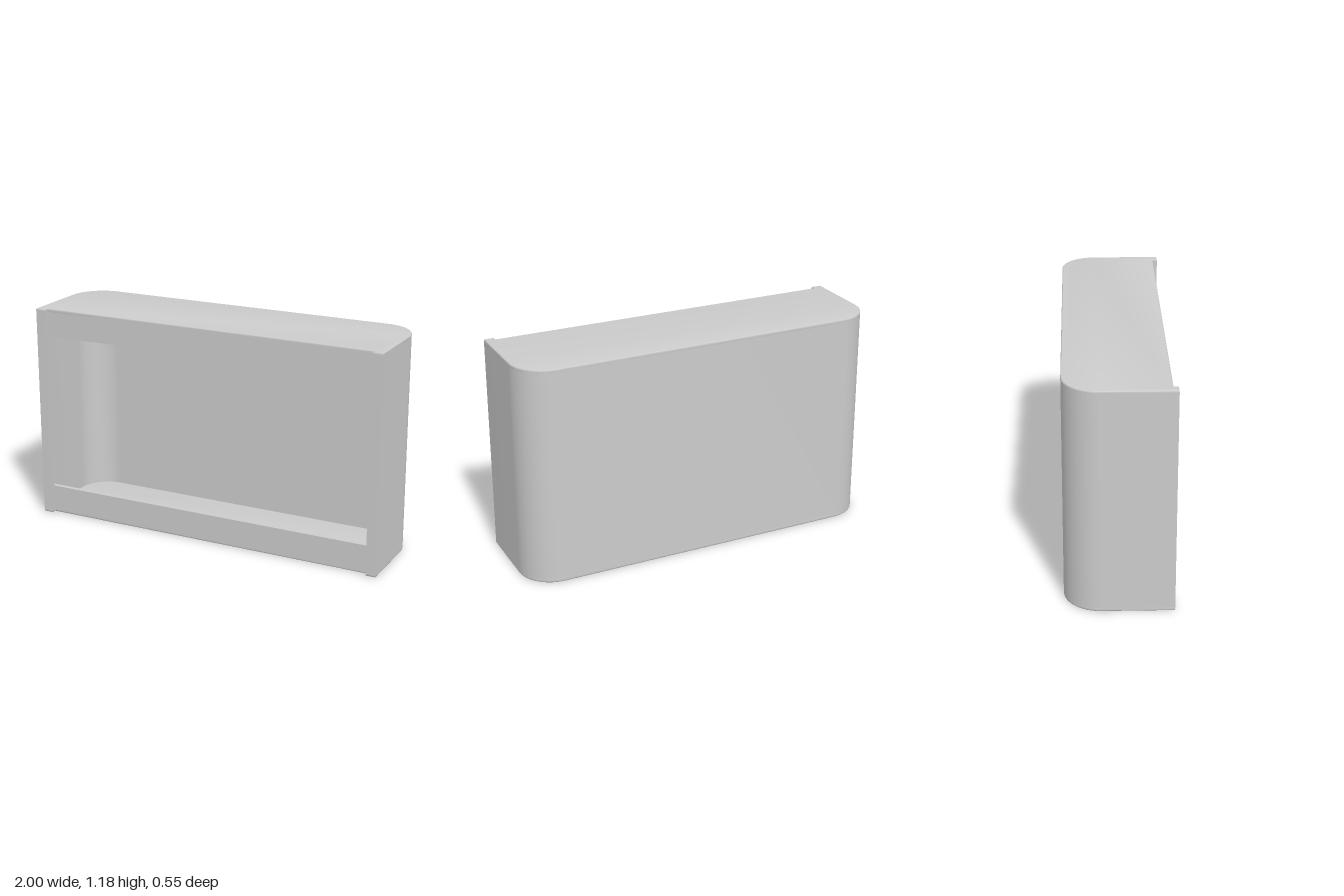
import * as THREE from 'three';
import { toCreasedNormals } from 'three/addons/utils/BufferGeometryUtils.js';

const H = 1.18;      // height
const W = 1;         // half width
const D = 0.275;     // half depth
const R = 0.185;     // radius of the back corners
const T = 0.025;     // sheet thickness
const STILE = 0.055; // width of the front side strips
const LIP = 0.155;   // height of the front top and bottom strips
const BEVEL = 0.006;

// Shapes are drawn in plan: shape x is x, shape y is -z (back is positive).
function backOutline(shape, inset, ccw) {
  const w = W - inset, d = D - inset, r = R - inset;
  const cx = W - R, cy = D - R;
  if (ccw) {
    shape.lineTo(w, cy);
    shape.absarc(cx, cy, r, 0, Math.PI / 2, false);
    shape.lineTo(-cx, d);
    shape.absarc(-cx, cy, r, Math.PI / 2, Math.PI, false);
  } else {
    shape.lineTo(-w, cy);
    shape.absarc(-cx, cy, r, Math.PI, Math.PI / 2, true);
    shape.lineTo(cx, d);
    shape.absarc(cx, cy, r, Math.PI / 2, 0, true);
  }
}

// Full plan with a small tab over each front strip
function plateShape() {
  const s = new THREE.Shape();
  s.moveTo(W, -D);
  backOutline(s, 0, true);
  s.lineTo(-W, -D);
  s.lineTo(-W + STILE, -D);
  s.lineTo(-W + STILE, -D + T);
  s.lineTo(W - STILE, -D + T);
  s.lineTo(W - STILE, -D);
  s.closePath();
  return s;
}

// Thin U with its front ends folded inward
function wallShape() {
  const s = new THREE.Shape();
  s.moveTo(W, -D);
  backOutline(s, 0, true);
  s.lineTo(-W, -D);
  s.lineTo(-W + STILE, -D);
  s.lineTo(-W + STILE, -D + T);
  s.lineTo(-W + T, -D + T);
  backOutline(s, T, false);
  s.lineTo(W - T, -D + T);
  s.lineTo(W - STILE, -D + T);
  s.lineTo(W - STILE, -D);
  s.closePath();
  return s;
}

// Extrudes a plan shape upward
function upright(shape, options) {
  const g = new THREE.ExtrudeGeometry(shape, { curveSegments: 20, ...options });
  g.rotateX(-Math.PI / 2);
  return toCreasedNormals(g, 0.7);
}

export function createModel() {
  const model = new THREE.Group();
  model.name = 'openCabinet';
  const material = new THREE.MeshStandardMaterial({ color: 0xcccccc });
  const add = (name, geometry, y, z = 0) => {
    const mesh = new THREE.Mesh(geometry, material);
    mesh.name = name;
    mesh.position.set(0, y, z);
    model.add(mesh);
  };

  // Sides, rounded back and front strips in one bent sheet
  const wall = upright(wallShape(), { depth: H - T, bevelEnabled: false });
  add('wall', wall, T / 2);

  // Floor and roof with softened rims
  const core = T - 2 * BEVEL;
  const plate = upright(plateShape(), {
    depth: core, bevelThickness: BEVEL, bevelSize: BEVEL,
    bevelOffset: -BEVEL, bevelSegments: 3,
  });
  add('floor', plate, BEVEL);
  add('roof', plate, H - T + BEVEL);

  // Lips along the bottom and top of the opening
  const lipHeight = LIP - T / 2;
  const lip = new THREE.BoxGeometry(2 * (W - T), lipHeight, T);
  const lipY = T / 2 + lipHeight / 2;
  add('bottomLip', lip, lipY, D - 1.5 * T);
  add('topLip', lip, H - lipY, D - 1.5 * T);

  return model;
}
